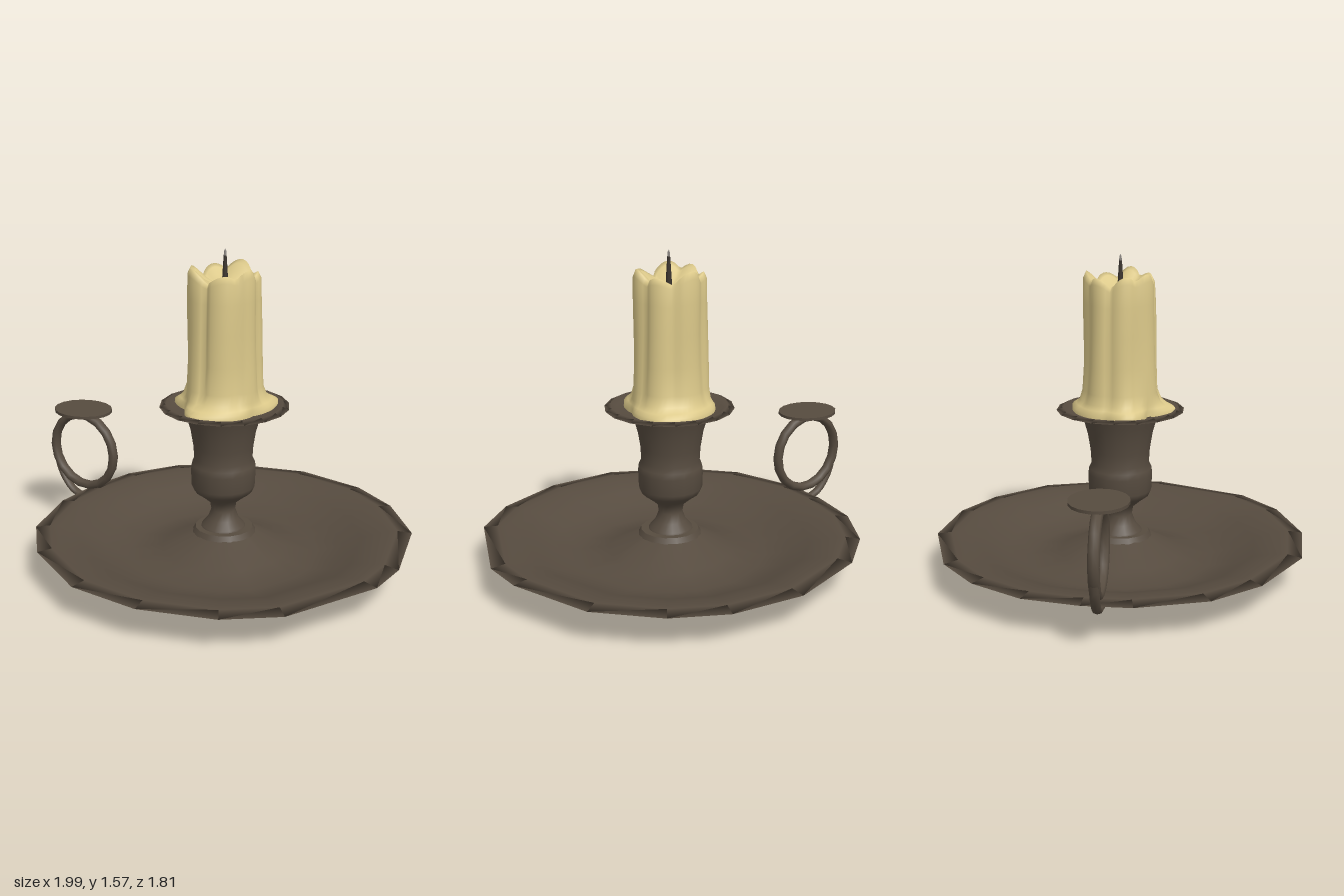
import * as THREE from 'three';

const bronze = new THREE.MeshStandardMaterial({ color: 0x564b3f });
bronze.name = 'dark bronze';
const wax = new THREE.MeshStandardMaterial({ color: 0xdcc98a });
wax.name = 'cream wax';
const char = new THREE.MeshStandardMaterial({ color: 0x3b342e });
char.name = 'charred wick';
const ash = new THREE.MeshStandardMaterial({ color: 0x8a8580 });
ash.name = 'ash tip';

const CX = 0.085; // axis of the plate, stem and candle

// Smooth surface through closed rings; point(row, column) gives [x, y, z]
function loft(rows, cols, point) {
  const pos = [], idx = [];
  for (let i = 0; i < rows; i++)
    for (let j = 0; j < cols; j++) pos.push(...point(i, j));
  for (let i = 0; i < rows - 1; i++)
    for (let j = 0; j < cols; j++) {
      const k = (j + 1) % cols;
      const a = i * cols + j, b = i * cols + k, c = a + cols, d = b + cols;
      idx.push(a, c, b, b, c, d);
    }
  const g = new THREE.BufferGeometry();
  g.setAttribute('position', new THREE.Float32BufferAttribute(pos, 3));
  g.setIndex(idx);
  g.computeVertexNormals();
  return g;
}

// Round profile of [radius, y] points
function turned(profile, cols) {
  return loft(profile.length, cols, (i, j) => {
    const t = (j / cols) * Math.PI * 2;
    return [Math.cos(t) * profile[i][0], profile[i][1], Math.sin(t) * profile[i][0]];
  });
}

// Radius at an angle, from a sorted list of [degrees, radius]
function radiusAt(list, deg) {
  for (let i = 0; i < list.length; i++) {
    const [a, ra] = list[i];
    let [b, rb] = list[(i + 1) % list.length];
    if (b < a) b += 360;
    const d = deg < a && b > 360 ? deg + 360 : deg;
    if (d >= a && d <= b) return ra + ((rb - ra) * (d - a)) / (b - a);
  }
  return list[0][1];
}

export function createModel() {
  const model = new THREE.Group();
  const add = (name, geometry, material, x = 0, y = 0, z = 0) => {
    const mesh = new THREE.Mesh(geometry, material);
    mesh.name = name;
    mesh.position.set(x, y, z);
    model.add(mesh);
    return mesh;
  };

  // Plate: uneven hammered outline, flat foot, thin dished wall, floor rising to the stem
  const outline = [
    [0.99, 0.14], [0.79, 0.60], [0.57, 0.78], [0.22, 0.90], [-0.14, 0.89], [-0.51, 0.70],
    [-0.71, 0.48], [-0.82, 0.15], [-0.82, -0.08], [-0.77, -0.35], [-0.62, -0.60], [-0.40, -0.78],
    [0.01, -0.91], [0.37, -0.87], [0.62, -0.74], [0.86, -0.49], [0.99, -0.08],
  ].map(([x, z]) => [(x - CX) / 0.91, z / 0.91]);
  const plateProfile = [
    [0, 0], [0.43, 0], [0.437, 0.022], [0.57, 0.08], [0.67, 0.135], [0.76, 0.162],
    [0.91, 0.171], [0.84, 0.181], [0.8, 0.176], [0.75, 0.168], [0.67, 0.145],
    [0.58, 0.1], [0.45, 0.068], [0.3, 0.095], [0.14, 0.185], [0, 0.19],
  ];
  add('plate', loft(plateProfile.length, outline.length, (i, j) => {
    const [r, y] = plateProfile[i];
    return [outline[j][0] * r, y, outline[j][1] * r];
  }), bronze, CX);

  // Stem
  add('stemFoot', new THREE.CylinderGeometry(0.14, 0.155, 0.025, 16), bronze, CX, 0.19);
  add('stem', turned([
    [0.11, 0.195], [0.105, 0.21], [0.075, 0.245], [0.058, 0.29], [0.065, 0.33], [0.1, 0.36],
    [0.14, 0.39], [0.154, 0.42], [0.157, 0.5], [0.153, 0.53], [0.141, 0.555], [0.145, 0.62],
    [0.158, 0.70], [0.175, 0.76], [0.193, 0.815],
  ], 18), bronze, CX - 0.005);

  // Drip pan around the socket
  add('dripPan', turned([
    [0.17, 0.8], [0.2, 0.808], [0.31, 0.82], [0.28, 0.833], [0.255, 0.818], [0.2, 0.811], [0, 0.811],
  ], 18), bronze, CX);

  // Candle: softly fluted sides spreading into a pool, wavy rim, sunken top
  const pool = [
    [12, 0.194], [60, 0.24], [90, 0.27], [111, 0.225], [128, 0.18], [161, 0.243],
    [170, 0.243], [195, 0.196], [217, 0.214], [263, 0.23], [313, 0.27],
  ];
  const COLS = 56;
  // Each row: [y, flute size, spread into pool, rim wave]
  const rows = [
    [0.811, 0.176, 1, 0], [0.836, 0.176, 0.96, 0], [0.85, 0.176, 0.65, 0], [0.872, 0.176, 0.35, 0],
    [0.92, 0.177, 0.1, 0], [1.05, 0.177, 0, 0], [1.2, 0.176, 0, 0], [1.34, 0.175, 0, 0.2],
    [1.435, 0.172, 0, 0.8], [1.462, 0.158, 0, 1], [1.45, 0.136, 0, 0.9], [1.425, 0.1, 0, 0.5],
    [1.405, 0.05, 0, 0.1], [1.4, 0, 0, 0],
  ];
  add('candle', loft(rows.length, COLS, (i, j) => {
    const [y, size, spread, wave] = rows[i];
    const t = (j / COLS) * Math.PI * 2;
    const lobe = Math.abs(Math.cos(3.5 * (t + Math.PI / 2) + 0.25 * Math.sin(2 * t)));
    const wobble = 1 + 0.02 * Math.sin(3 * t + y * 9);
    const flute = size * (0.85 + 0.16 * Math.sqrt(lobe)) * wobble;
    const r = flute + (Math.max(radiusAt(pool, (j / COLS) * 360), flute) - flute) * spread;
    const lift = wave * (0.04 * lobe - 0.022 + 0.015 * Math.sin(3 * t + 0.6));
    return [Math.cos(t) * r, y + lift, Math.sin(t) * r];
  }), wax, CX - 0.005);

  // Wick
  add('wick', turned([[0.015, 1.39], [0.014, 1.43], [0.011, 1.48], [0.007, 1.54]], 8), char, CX);
  add('wickTip', turned([[0.007, 1.54], [0.005, 1.56], [0, 1.572]], 8), ash, CX);

  // Finger ring, thumb rest and the tail that runs under the plate
  add('handleRing', new THREE.TorusGeometry(0.192, 0.022, 8, 18), bronze, -0.788, 0.413)
    .scale.z = 1.2;
  add('thumbRest', new THREE.CylinderGeometry(0.155, 0.155, 0.014, 18), bronze, -0.785, 0.635)
    .scale.z = 0.87;
  const path = new THREE.CatmullRomCurve3([
    [-0.972, 0.36], [-0.94, 0.26], [-0.87, 0.175], [-0.78, 0.148], [-0.62, 0.125], [-0.52, 0.085],
  ].map(([x, y]) => new THREE.Vector3(x, y, 0)));
  add('handleTail', new THREE.TubeGeometry(path, 16, 0.016, 8), bronze).scale.z = 1.4;

  return model;
}
